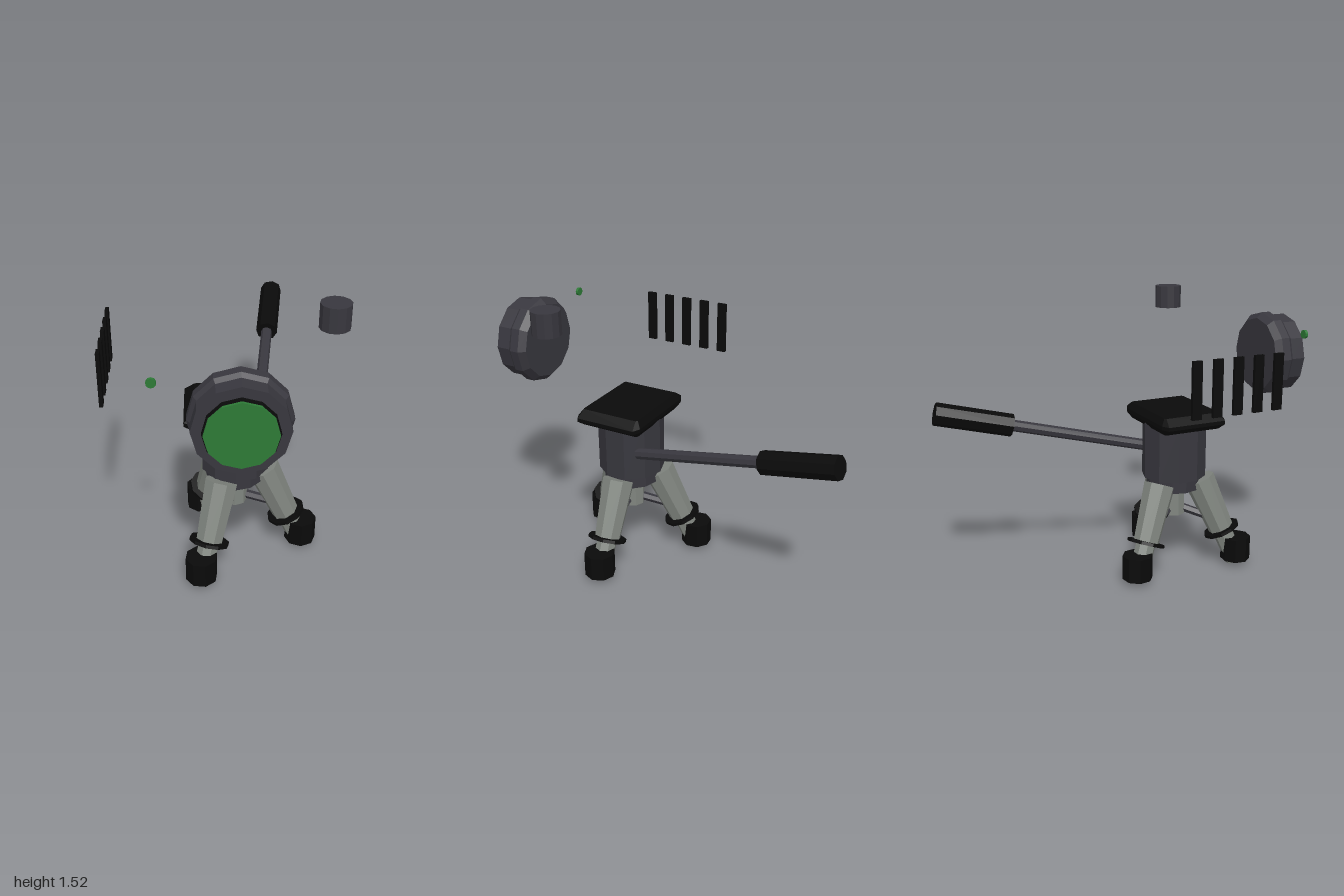
import * as THREE from 'three';

const CX = 0.063, CZ = 0.272; // vertical axis of the stand

function material(name, color) {
  const m = new THREE.MeshStandardMaterial({ color });
  m.name = name;
  return m;
}

export function createModel() {
  const black = material('black rubber', 0x0a0a0a);
  const dark = material('dark grey', 0x38373e);
  const grey = material('leg grey', 0x80857f);
  const green = material('green glass', 0x2d7a36);
  const model = new THREE.Group();
  model.name = 'tripodKit';

  // Adds a faceted mesh
  function add(parent, name, geometry, mat, x = 0, y = 0, z = 0) {
    const g = geometry.index ? geometry.toNonIndexed() : geometry;
    g.computeVertexNormals();
    const mesh = new THREE.Mesh(g, mat);
    mesh.name = name;
    mesh.position.set(x, y, z);
    parent.add(mesh);
    return mesh;
  }

  // Cylinder running from point a to point b
  function rod(parent, name, a, b, ra, rb, sides, mat) {
    const p = new THREE.Vector3(...a), q = new THREE.Vector3(...b);
    const dir = q.clone().sub(p);
    const mesh = add(parent, name, new THREE.CylinderGeometry(rb, ra, dir.length(), sides), mat);
    mesh.position.copy(p).add(q).multiplyScalar(0.5);
    mesh.quaternion.setFromUnitVectors(new THREE.Vector3(0, 1, 0), dir.normalize());
    return mesh;
  }

  // Stand: head, neck and centre column
  const stand = new THREE.Group();
  stand.name = 'stand';
  stand.position.set(CX, 0, CZ);
  model.add(stand);
  rod(stand, 'head', [0, 0.53, 0], [0, 0.855, 0], 0.178, 0.178, 10, dark);
  rod(stand, 'neck', [0, 0.46, 0], [0, 0.53, 0], 0.15, 0.15, 12, dark);
  rod(stand, 'centreColumn', [0, 0.3, 0], [0, 0.47, 0], 0.065, 0.065, 8, grey);

  // Bevelled top plate, stretched sideways after the bevel
  const hx = 0.123, hz = 0.187, c = 0.02;
  const outline = new THREE.Shape([
    [hx - c, -hz], [hx, -hz + c], [hx, hz - c], [hx - c, hz],
    [-hx + c, hz], [-hx, hz - c], [-hx, -hz + c], [-hx + c, -hz],
  ].map(([x, y]) => new THREE.Vector2(x, y)));
  const plate = new THREE.ExtrudeGeometry(outline, {
    depth: 0.02, bevelEnabled: true, bevelSegments: 1,
    bevelThickness: 0.035, bevelSize: 0.024, bevelOffset: -0.024,
  });
  plate.rotateX(-Math.PI / 2);
  plate.scale(2.1, 1, 1);
  add(stand, 'topPlate', plate, black, 0, 0.86, 0);

  // Three splayed legs with collars, feet and braces
  const axis = (y) => [0.367 - 0.445 * y, y, 0];
  for (let i = 0; i < 3; i++) {
    const leg = new THREE.Group();
    leg.name = 'leg' + (i + 1);
    leg.rotation.y = (i * Math.PI * 2) / 3;
    stand.add(leg);
    rod(leg, 'upperLeg', axis(0.207), axis(0.505), 0.071, 0.088, 8, grey);
    rod(leg, 'lowerLeg', axis(0.022), axis(0.22), 0.055, 0.055, 8, grey);
    rod(leg, 'collar', axis(0.198), axis(0.214), 0.104, 0.104, 10, black);
    rod(leg, 'foot', [0.358, 0.03, 0], [0.358, 0.165, 0], 0.083, 0.083, 8, black);
    rod(leg, 'brace', [0.04, 0.335, 0], [0.235, 0.268, 0], 0.023, 0.023, 6, dark);
  }

  // Pan handle reaching back
  const along = (z) => [0.19 + 0.125 * (0.08 - z), 0.686 + 0.243 * (0.13 - z), z];
  rod(model, 'handleRod', along(0.16), along(-0.62), 0.031, 0.031, 8, dark);
  rod(model, 'handleGrip', along(-0.59), along(-0.985), 0.061, 0.061, 8, black);

  // Lens: stepped barrel, dark rim and green glass
  const lens = new THREE.Group();
  lens.name = 'lens';
  lens.position.set(CX, 1.166, 0);
  model.add(lens);
  const barrel = new THREE.LatheGeometry([
    [0, 0.787], [0.203, 0.787], [0.233, 0.82], [0.233, 0.868],
    [0.216, 0.888], [0.216, 0.965], [0, 0.965],
  ].map(([r, z]) => new THREE.Vector2(r, z)), 12);
  add(lens, 'barrel', barrel.rotateX(Math.PI / 2), dark);
  const disc = (r, h) => new THREE.CylinderGeometry(r, r, h, 12).rotateX(Math.PI / 2);
  add(lens, 'lensRim', disc(0.168, 0.024), black, 0, 0, 0.974);
  add(lens, 'lensGlass', disc(0.162, 0.016), green, 0, 0, 0.992);

  // Loose knob
  add(model, 'knob', new THREE.CylinderGeometry(0.074, 0.074, 0.123, 12), dark, 0.503, 1.458, 0.457);

  // Indicator light
  add(model, 'indicator', new THREE.CylinderGeometry(0.023, 0.023, 0.015, 10).rotateX(Math.PI / 2),
    green, -0.314, 1.332, 0.836);

  // Row of grip strips
  for (let i = 0; i < 5; i++) {
    add(model, 'gripStrip' + (i + 1), new THREE.BoxGeometry(0.018, 0.282, 0.05), black,
      -0.573, 1.165, 0.499 - i * 0.1128);
  }
  return model;
}
